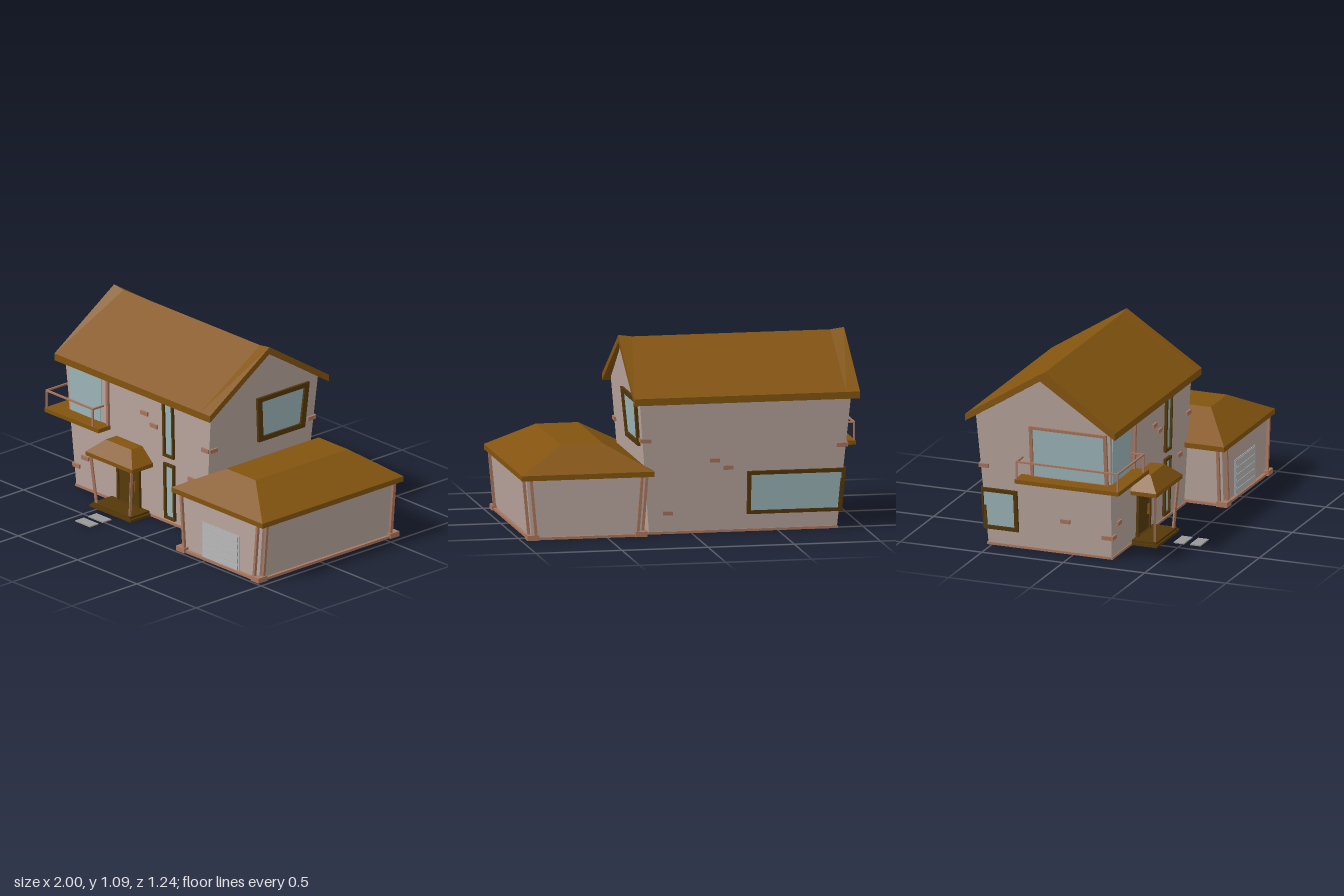
import * as THREE from 'three';

const mat = (color) => new THREE.MeshStandardMaterial({ color, flatShading: true });

export function createModel() {
  const house = new THREE.Group();
  const M = {
    wall: mat(0xb9a59d), roof: mat(0x83540f), dark: mat(0x553809), trim: mat(0xa9775f),
    glass: mat(0x9db6ba), door: mat(0x573a0c), grey: mat(0xb2b2b2), stone: mat(0x999999),
  };

  const add = (name, geo, material) => {
    geo.computeVertexNormals();
    const mesh = new THREE.Mesh(geo, material);
    mesh.name = name;
    house.add(mesh);
    return mesh;
  };

  // Move every vertex of a geometry by a rule
  const warp = (geo, rule) => {
    const p = geo.attributes.position;
    for (let i = 0; i < p.count; i++) p.setXYZ(i, ...rule(p.getX(i), p.getY(i), p.getZ(i)));
    return geo;
  };

  // Box between two rectangles [x0, x1, z0, z1], b at the bottom and t at the top
  const prism = (name, material, y0, y1, b, t = b) =>
    add(name, warp(new THREE.BoxGeometry(1, 1, 1), (x, y, z) => {
      const r = y < 0 ? b : t;
      return [x < 0 ? r[0] : r[1], y < 0 ? y0 : y1, z < 0 ? r[2] : r[3]];
    }), material);

  // Thin square bar between two points
  const bar = (name, material, a, b, w = 0.012) => {
    const from = new THREE.Vector3(...a), to = new THREE.Vector3(...b);
    const mesh = add(name, new THREE.BoxGeometry(w, w, from.distanceTo(to) + w), material);
    mesh.position.copy(from).add(to).multiplyScalar(0.5);
    mesh.lookAt(to);
  };

  // Outward-leaning faces of the main house
  const xL = (y) => -0.845 - 0.095 * y, xR = (y) => 0.245 + 0.082 * y;
  const zF = (y) => 0.235 + 0.025 * y, zB = (y) => -0.52 - 0.062 * y;
  const walls = {
    front: (u, y, d) => [u, y, zF(y) + d],
    back: (u, y, d) => [-u, y, zB(y) - d],
    right: (u, y, d) => [xR(y) + d, y, -u],
    left: (u, y, d) => [xL(y) - d, y, u],
  };
  const flip = { front: 1, back: -1, right: -1, left: 1 };

  // Flat piece on a wall: outline and optional hole given in world x (or z) and y
  const onWall = (name, material, side, pts, hole, d0, d1) => {
    const toPts = (list) => list.map(([u, y]) => new THREE.Vector2(u * flip[side], y));
    const shape = new THREE.Shape(toPts(pts));
    if (hole) shape.holes.push(new THREE.Path(toPts(hole)));
    const geo = new THREE.ExtrudeGeometry(shape, { depth: d1 - d0, bevelEnabled: false });
    add(name, warp(geo, (u, y, d) => walls[side](u, y, d + d0)), material);
  };
  const rect = (u0, u1, y0, y1) => [[u0, y0], [u1, y0], [u1, y1], [u0, y1]];

  const windowOn = (name, side, outer, inner, frame = M.dark) => {
    onWall(name + 'Frame', frame, side, outer, inner, -0.01, 0.016);
    onWall(name + 'Glass', M.glass, side, inner, null, -0.01, 0.004);
  };

  // Extrude a (z, y) profile along x; t runs 0..1 from left to right
  const alongX = (profile, steps, rule) => {
    const shape = new THREE.Shape(profile.map(([z, y]) => new THREE.Vector2(z, y)));
    const geo = new THREE.ExtrudeGeometry(shape, { depth: 1, steps, bevelEnabled: false });
    geo.rotateY(-Math.PI / 2);
    return warp(geo, (x, y, z) => rule(1 + x, y, z));
  };

  // Main house walls with gable ends
  add('houseWalls', alongX(
    [[0.235, 0], [0.255, 0.785], [-0.16, 1.055], [-0.569, 0.795], [-0.52, 0]], 1,
    (t, y, z) => [t < 0.5 ? xL(y) : xR(y), y, z]), M.wall);
  prism('houseFoundation', M.trim, 0, 0.014, [-0.85, 0.255, -0.53, 0.242]);

  // Gable roof, its ridge a little higher at both ends
  const roofX = [-0.96, -0.88, 0.27, 0.35];
  add('mainRoof', alongX(
    [[0.30, 0.752], [0.30, 0.793], [-0.16, 1.093], [-0.62, 0.8], [-0.62, 0.76], [-0.16, 1.052]], 3,
    (t, y, z) => {
      const k = Math.round(t * 3);
      const sag = k === 1 || k === 2 ? 0.011 * (1 - Math.abs(z + 0.16) / 0.46) : 0;
      return [roofX[k], y - sag, z];
    }), M.roof);

  // Garage body, corner posts, door and hipped roof
  prism('garageWalls', M.wall, 0, 0.35, [0.3, 0.935, -0.565, 0.455], [0.275, 0.965, -0.565, 0.455]);
  prism('garageFoundation', M.trim, 0, 0.015, [0.28, 0.955, -0.585, 0.475]);
  for (const s of [-1, 1]) for (const f of [-1, 1]) {
    const bx = 0.6175 + s * 0.33, tx = 0.62 + s * 0.358, z = -0.055 + f * 0.527;
    const post = (dx, dz) => {
      const r = (x) => [x - s * dx - 0.008, x - s * dx + 0.008, z - f * dz - 0.008, z - f * dz + 0.008];
      prism('garagePost', M.trim, 0.02, 0.35, r(bx), r(tx));
    };
    post(0, 0.038);
    post(0.035, 0);
    const cx = bx - s * 0.016, cz = z - f * 0.018;
    prism('postFoot', M.trim, 0, 0.03, [cx - 0.034, cx + 0.034, cz - 0.034, cz + 0.034]);
  }
  prism('garageEave', M.roof, 0.345, 0.375, [0.23, 0.998, -0.6, 0.487]);
  prism('garageRoof', M.roof, 0.375, 0.515, [0.23, 0.998, -0.6, 0.487], [0.49, 0.735, -0.41, 0.3]);
  prism('garageDoor', M.grey, 0.004, 0.225, [0.457, 0.77, 0.44, 0.459]);
  for (let i = 0; i < 5; i++) {
    const y = 0.012 + i * 0.043;
    prism('garageDoorSlat', M.grey, y, y + 0.034, [0.468, 0.759, 0.45, 0.466], [0.468, 0.759, 0.45, 0.462]);
  }

  // Front door with handle
  onWall('frontDoorFrame', M.dark, 'front', rect(-0.487, -0.295, 0.02, 0.287), rect(-0.472, -0.31, 0.03, 0.272), -0.01, 0.016);
  onWall('frontDoor', M.door, 'front', rect(-0.472, -0.31, 0.03, 0.272), null, -0.01, 0.007);
  onWall('doorHandle', M.roof, 'front', rect(-0.336, -0.326, 0.12, 0.18), null, 0, 0.02);

  // Porch
  prism('porchFloor', M.dark, 0, 0.014, [-0.56, -0.215, 0.2, 0.395]);
  prism('porchStep', M.dark, 0.014, 0.027, [-0.545, -0.23, 0.2, 0.385]);
  prism('porchEave', M.roof, 0.308, 0.332, [-0.585, -0.192, 0.2, 0.402]);
  prism('porchRoof', M.roof, 0.332, 0.412, [-0.585, -0.192, 0.2, 0.402], [-0.495, -0.28, 0.2, 0.33]);
  for (const s of [-1, 1])
    bar('porchPost', M.trim, [-0.388 + s * 0.142, 0.03, 0.37], [-0.388 + s * 0.172, 0.305, 0.385], 0.014);

  // Stepping stones
  for (const z of [0.45, 0.55]) prism('steppingStone', M.stone, 0.002, 0.009, [-0.44, -0.315, z, z + 0.065]);

  // Tall front windows and the gable window
  for (const y of [0.03, 0.412])
    windowOn('tallWindow', 'front', rect(-0.09, -0.002, y, y + 0.342), rect(-0.074, -0.014, y + 0.016, y + 0.326));
  windowOn('gableWindow', 'right',
    [[-0.123, 0.505], [-0.478, 0.505], [-0.493, 0.785], [-0.092, 0.785]],
    [[-0.155, 0.535], [-0.443, 0.535], [-0.458, 0.757], [-0.13, 0.757]]);

  // Low window wrapping the back left corner
  windowOn('backWindow', 'back', rect(-0.872, -0.32, 0.1, 0.35), rect(-0.868, -0.342, 0.122, 0.328));
  windowOn('backSideWindow', 'left', rect(-0.542, -0.33, 0.1, 0.35), rect(-0.538, -0.352, 0.122, 0.328));

  // Balcony window wrapping the front left corner
  onWall('balconyFrontGlass', M.glass, 'front', [[-0.872, 0.46], [-0.625, 0.46], [-0.612, 0.765], [-0.885, 0.765]], null, -0.01, 0.004);
  onWall('balconyWindowPost', M.trim, 'front', rect(-0.565, -0.548, 0.455, 0.775), null, -0.01, 0.016);
  windowOn('balconySideWindow', 'left', rect(-0.24, 0.235, 0.455, 0.765), rect(-0.222, 0.215, 0.46, 0.748), M.trim);

  // L-shaped balcony floor and its railing
  const floor = new THREE.Shape([[-1, 0.3], [-0.82, 0.3], [-0.82, -0.2], [-0.545, -0.2], [-0.545, -0.34], [-1, -0.34]]
    .map(([x, y]) => new THREE.Vector2(x, y)));
  const floorGeo = new THREE.ExtrudeGeometry(floor, { depth: 0.024, bevelEnabled: false });
  floorGeo.rotateX(-Math.PI / 2).translate(0, 0.436, 0);
  add('balconyFloor', floorGeo, M.roof);
  const rail = [[-0.89, -0.29], [-0.992, -0.29], [-0.992, 0.33], [-0.602, 0.33], [-0.602, 0.24]];
  rail.forEach(([x, z], i) => {
    if (i > 0) bar('balconyRail', M.trim, [rail[i - 1][0], 0.565, rail[i - 1][1]], [x, 0.565, z], 0.01);
    if (i > 0 && i < 4) bar('balconyRailPost', M.trim, [x, 0.46, z], [x, 0.56, z], 0.01);
  });

  // Scattered bricks standing proud of the walls: [side, centre, height]
  const bricks = [
    ['front', -0.25, 0.625], ['front', -0.17, 0.57], ['front', 0.14, 0.33], ['front', -0.76, 0.197],
    ['front', -0.835, 0.13], ['front', 0.262, 0.545], ['right', 0.222, 0.545], ['right', -0.532, 0.545],
    ['back', 0.268, 0.545], ['back', -0.13, 0.42], ['back', -0.21, 0.375], ['back', 0.14, 0.12],
    ['back', -0.865, 0.485], ['left', -0.53, 0.485], ['left', -0.04, 0.2], ['left', 0.21, 0.13],
  ];
  for (const [side, u, y] of bricks)
    onWall('brick', M.trim, side, rect(u - 0.029, u + 0.029, y - 0.012, y + 0.012), null, -0.01, 0.012);

  return house;
}
